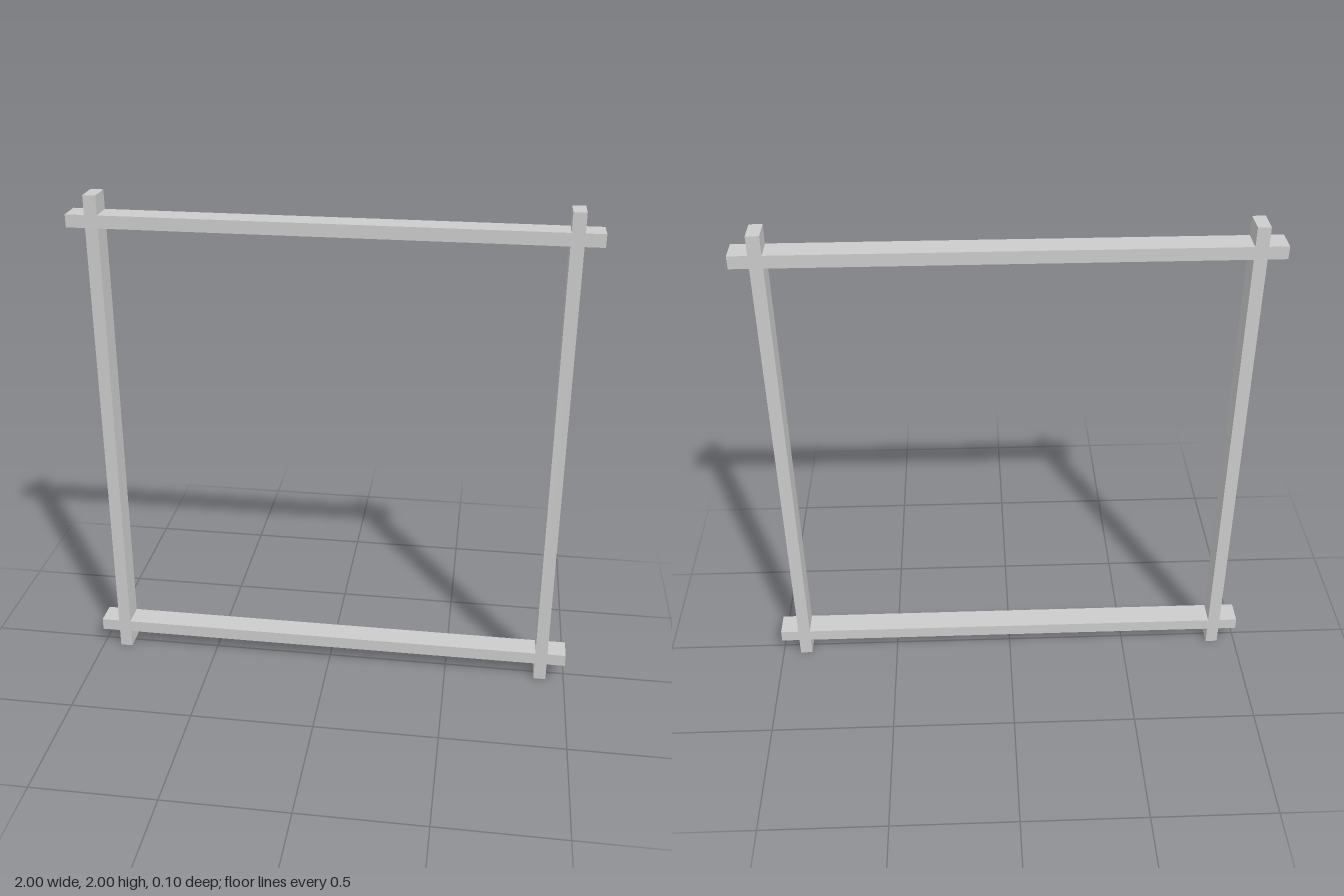
import * as THREE from 'three';

const HALF = 1;       // half length of every bar
const OUTER = 0.925;  // outer edge of a bar
const INNER = 0.875;  // inner edge of a bar
const DEPTH = 0.1;

export function createModel() {
  const model = new THREE.Group();
  model.name = 'squareFrame';

  // One crossed corner with its two projecting bar ends, turned to all four corners
  const corner = [
    [OUTER, INNER], [HALF, INNER], [HALF, OUTER], [OUTER, OUTER],
    [OUTER, HALF], [INNER, HALF], [INNER, OUTER],
  ].map(([x, y]) => new THREE.Vector2(x, y));
  const outline = [];
  for (let i = 0; i < 4; i++) {
    for (const p of corner) {
      outline.push(p.clone().rotateAround(new THREE.Vector2(), i * Math.PI / 2));
    }
  }
  const shape = new THREE.Shape(outline);

  // Square opening between the bars
  shape.holes.push(new THREE.Path([[-1, -1], [-1, 1], [1, 1], [1, -1]]
    .map(([x, y]) => new THREE.Vector2(x * INNER, y * INNER))));

  // Four lap-jointed bars, flush front and back
  const geometry = new THREE.ExtrudeGeometry(shape, { depth: DEPTH, bevelEnabled: false });
  geometry.translate(0, HALF, -DEPTH / 2);
  const frame = new THREE.Mesh(geometry,
    new THREE.MeshStandardMaterial({ color: 0xcccccc, flatShading: true }));
  frame.name = 'crossedBarFrame';
  model.add(frame);

  return model;
}
